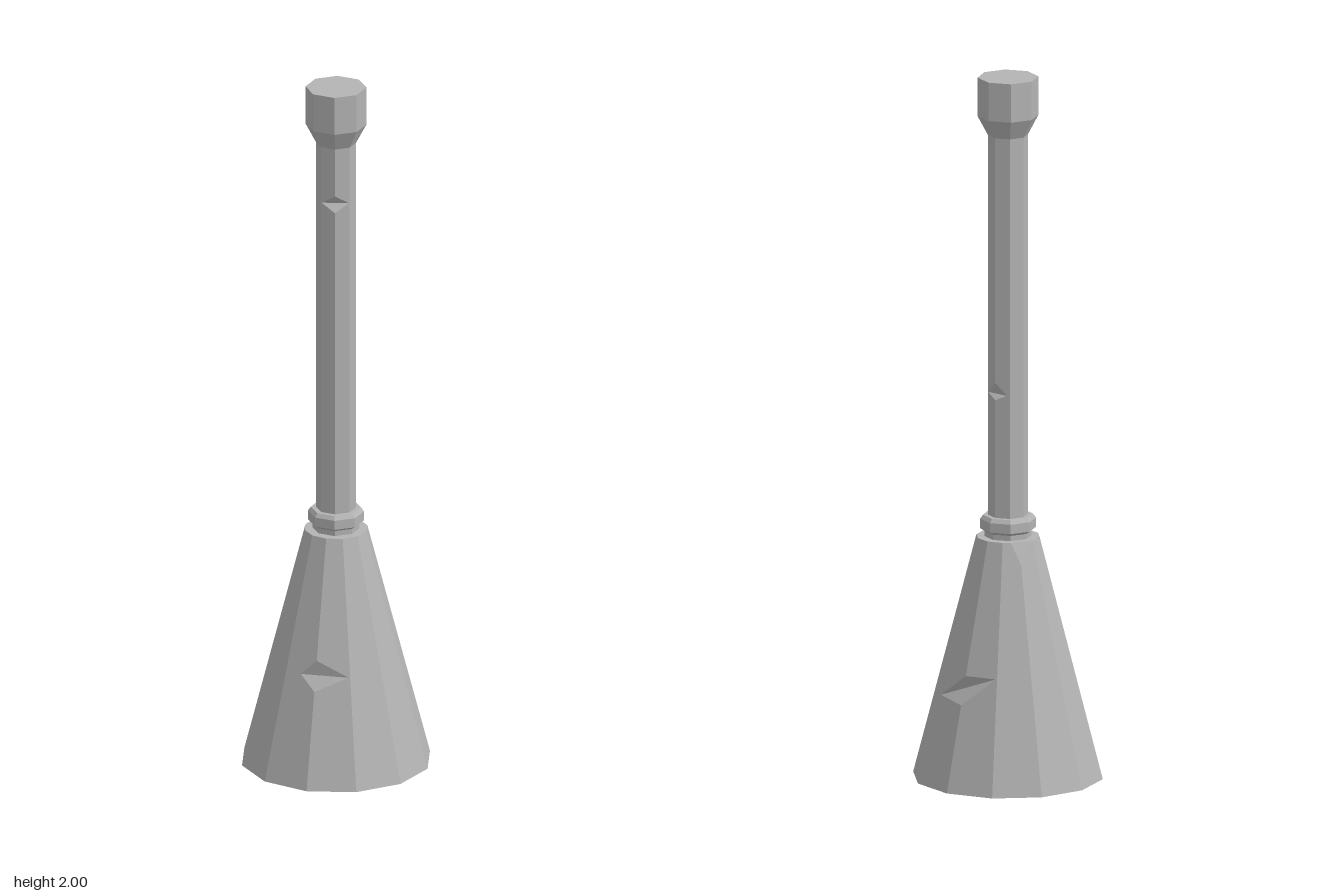
import * as THREE from 'three';

const grey = new THREE.MeshStandardMaterial({ color: 0xb4b4b4 });
grey.name = 'worn grey';

// Faceted column: rings are [radius, y] from bottom to top, closed by flat caps.
// Each chip cuts one upright edge: up/down lie on the edge, left/right are
// [share of the neighbouring facet, y]. A chip without "up" breaks the top rim.
function facetedColumn(name, sides, startAngle, rings, chips = []) {
  const pos = [];
  const tri = (...pts) => pts.forEach((p) => pos.push(p.x, p.y, p.z));
  const corner = (i, r, y) => {
    const a = startAngle + (i * Math.PI * 2) / sides;
    return new THREE.Vector3(r * Math.sin(a), y, r * Math.cos(a));
  };

  for (let b = 0; b < rings.length - 1; b++) {
    const [r0, y0] = rings[b];
    const [r1, y1] = rings[b + 1];
    const at = (i, u, y) => {
      const r = y1 === y0 ? r0 : r0 + ((r1 - r0) * (y - y0)) / (y1 - y0);
      return corner(i, r, y).lerp(corner(i + 1, r, y), u);
    };
    const here = chips.filter((c) => c.down > y0 && c.down < y1);
    for (let i = 0; i < sides; i++) {
      const l = here.find((c) => c.edge === i);
      const r = here.find((c) => c.edge === (i + 1) % sides);
      const outline = [[0, y0], [1, y0]];
      if (r) outline.push([1, r.down], [1 - r.left[0], r.left[1]]);
      if (r && r.up) outline.push([1, r.up]);
      if (!r || r.up) outline.push([1, y1]);
      if (!l || l.up) outline.push([0, y1]);
      if (l && l.up) outline.push([0, l.up]);
      if (l) outline.push([l.right[0], l.right[1]], [0, l.down]);
      const flat = outline.map(([u, y]) => new THREE.Vector2(u, y));
      for (const f of THREE.ShapeUtils.triangulateShape(flat, [])) {
        tri(...f.map((k) => at(i, outline[k][0], outline[k][1])));
      }
    }
    // Broken surfaces inside the chips
    for (const c of here) {
      const left = at(c.edge - 1, 1 - c.left[0], c.left[1]);
      const right = at(c.edge, c.right[0], c.right[1]);
      tri(left, at(c.edge, 0, c.down), right);
      if (c.up) tri(left, right, at(c.edge, 0, c.up));
    }
  }

  // Flat caps, following any broken rim
  const [rb, yb] = rings[0];
  const [rt, yt] = rings[rings.length - 1];
  const rim = [];
  for (let i = 0; i < sides; i++) {
    const c = chips.find((k) => k.edge === i && !k.up);
    tri(new THREE.Vector3(0, yb, 0), corner(i + 1, rb, yb), corner(i, rb, yb));
    if (c) {
      rim.push(corner(i - 1, rt, yt).lerp(corner(i, rt, yt), 1 - c.left[0]));
      rim.push(corner(i, rt, yt).lerp(corner(i + 1, rt, yt), c.right[0]));
    } else rim.push(corner(i, rt, yt));
  }
  rim.forEach((p, i) => tri(new THREE.Vector3(0, yt, 0), p, rim[(i + 1) % rim.length]));

  const geo = new THREE.BufferGeometry();
  geo.setAttribute('position', new THREE.Float32BufferAttribute(pos, 3));
  geo.computeVertexNormals();
  const mesh = new THREE.Mesh(geo, grey);
  mesh.name = name;
  return mesh;
}

export function createModel() {
  const group = new THREE.Group();
  group.name = 'post';

  // Twelve-sided tapering foot with three chips
  group.add(facetedColumn('foot', 12, Math.PI / 12, [[0.267, 0], [0.089, 0.687]], [
    { edge: 11, up: 0.355, down: 0.27, left: [0.5, 0.31], right: [0.96, 0.31] },
    { edge: 4, up: 0.32, down: 0.24, left: [0.94, 0.25], right: [0.96, 0.32] },
    { edge: 6, down: 0.625, left: [0.5, 0.687], right: [0.8, 0.687] },
  ]));

  // Bevelled collar between foot and shaft
  group.add(facetedColumn('collar', 8, 0, [
    [0.066, 0.685], [0.066, 0.702], [0.078, 0.71], [0.078, 0.737], [0.07, 0.748],
  ]));

  // Eight-sided shaft with two chipped edges
  group.add(facetedColumn('shaft', 8, 0, [[0.056, 0.74], [0.056, 1.835]], [
    { edge: 0, up: 1.695, down: 1.645, left: [0.96, 1.67], right: [0.96, 1.67] },
    { edge: 3, up: 1.135, down: 1.085, left: [0.96, 1.1], right: [0.8, 1.1] },
  ]));

  // Flared head
  group.add(facetedColumn('head', 8, 0, [[0.056, 1.835], [0.085, 1.89], [0.085, 2]]));
  return group;
}
